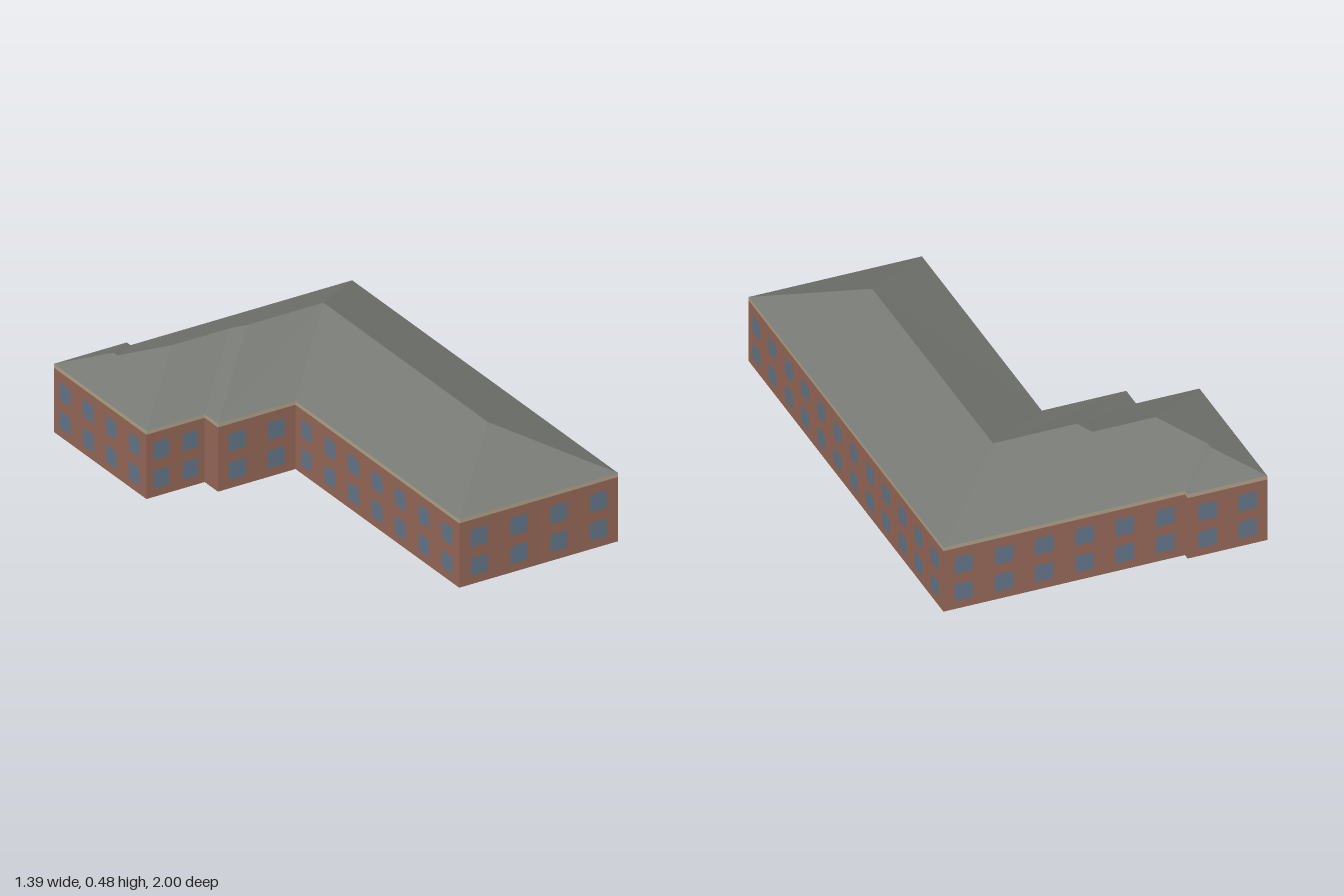
import * as THREE from 'three';

const mat = (name, color, side = THREE.DoubleSide) => {
  const m = new THREE.MeshStandardMaterial({ color, side });
  m.name = name;
  return m;
};

// footprint corners [x, z], walked so that the outside is on the right
const plan = [
  [-0.055, 1], [0.694, 1], [0.694, -0.972], [-0.35, -0.972], [-0.35, -1],
  [-0.694, -1], [-0.694, -0.313], [-0.42, -0.313], [-0.42, -0.214], [-0.055, -0.214],
];
const BAND = 0.288, EAVE = 0.305, PITCH = 0.45;

// ridge points [x, z, distance from the eave]
const ridge = {
  frontHip: [0.3195, 0.6255, 0.3745],
  corner: [0.318, -0.594, 0.378],
  middle: [-0.044, -0.593, 0.378],
  step: [-0.091, -0.642, 0.33],
  wing: [-0.364, -0.642, 0.33],
  notch: [-0.522, -0.8, 0.172],
  backHip: [-0.522, -0.828, 0.172],
};

// roof planes: eave corners by number, ridge points by name
const roofPlanes = [
  [0, 1, 'frontHip'],
  [1, 2, 'corner', 'frontHip'],
  [2, 3, 'notch', 'wing', 'step', 'middle', 'corner'],
  [3, 4, 'backHip', 'notch'],
  [4, 5, 'backHip'],
  [6, 'wing', 'notch', 'backHip', 5],
  [6, 7, 'step', 'wing'],
  [7, 8, 'middle', 'step'],
  [8, 9, 'corner', 'middle'],
  [9, 0, 'frontHip', 'corner'],
];

function roofGeometry() {
  const pos = [];
  const point = (key) => {
    const [x, z, d = 0] = typeof key === 'number' ? plan[key] : ridge[key];
    return [x, EAVE + d * PITCH, z];
  };
  for (const plane of roofPlanes) {
    const p = plane.map(point);
    for (let i = 1; i < p.length - 1; i++) pos.push(...p[0], ...p[i], ...p[i + 1]);
  }
  const g = new THREE.BufferGeometry();
  g.setAttribute('position', new THREE.Float32BufferAttribute(pos, 3));
  g.computeVertexNormals();
  return g;
}

export function createModel() {
  const brick = mat('brick', 0x9a6a5a);
  const trim = mat('eaves trim', 0xb5a68c);
  const slate = mat('roof slate', 0x777a75);
  const glass = mat('window glass', 0x66788b, THREE.FrontSide);

  const model = new THREE.Group();
  model.name = 'building';

  const addPlate = (parent, name, material, w, h, x, y, z = 0) => {
    const m = new THREE.Mesh(new THREE.PlaneGeometry(w, h), material);
    m.name = name;
    m.position.set(x, y, z);
    parent.add(m);
  };

  // one open wall panel per footprint side, with its trim and two window rows
  plan.forEach(([ax, az], i) => {
    const [bx, bz] = plan[(i + 1) % plan.length];
    const dx = bx - ax, dz = bz - az;
    const len = Math.hypot(dx, dz);
    const side = new THREE.Group();
    side.name = 'wallSide' + (i + 1);
    side.position.set((ax + bx) / 2, 0, (az + bz) / 2);
    side.rotation.y = Math.atan2(-dz, dx);
    addPlate(side, 'wall', brick, len, BAND, 0, BAND / 2);
    addPlate(side, 'eavesTrim', trim, len, EAVE - BAND, 0, (BAND + EAVE) / 2);

    if (len > 0.2) {
      const count = Math.max(2, Math.floor(len / 0.16));
      const gap = len / count;
      const width = Math.min(0.08, gap * 0.52);
      for (const y of [0.078, 0.206])
        for (let k = 0; k < count; k++)
          addPlate(side, 'window', glass, width, 0.078, (k + 0.5) * gap - len / 2, y, 0.002);
    }
    model.add(side);
  });

  // hipped roof
  const roof = new THREE.Mesh(roofGeometry(), slate);
  roof.name = 'roof';
  model.add(roof);

  return model;
}
